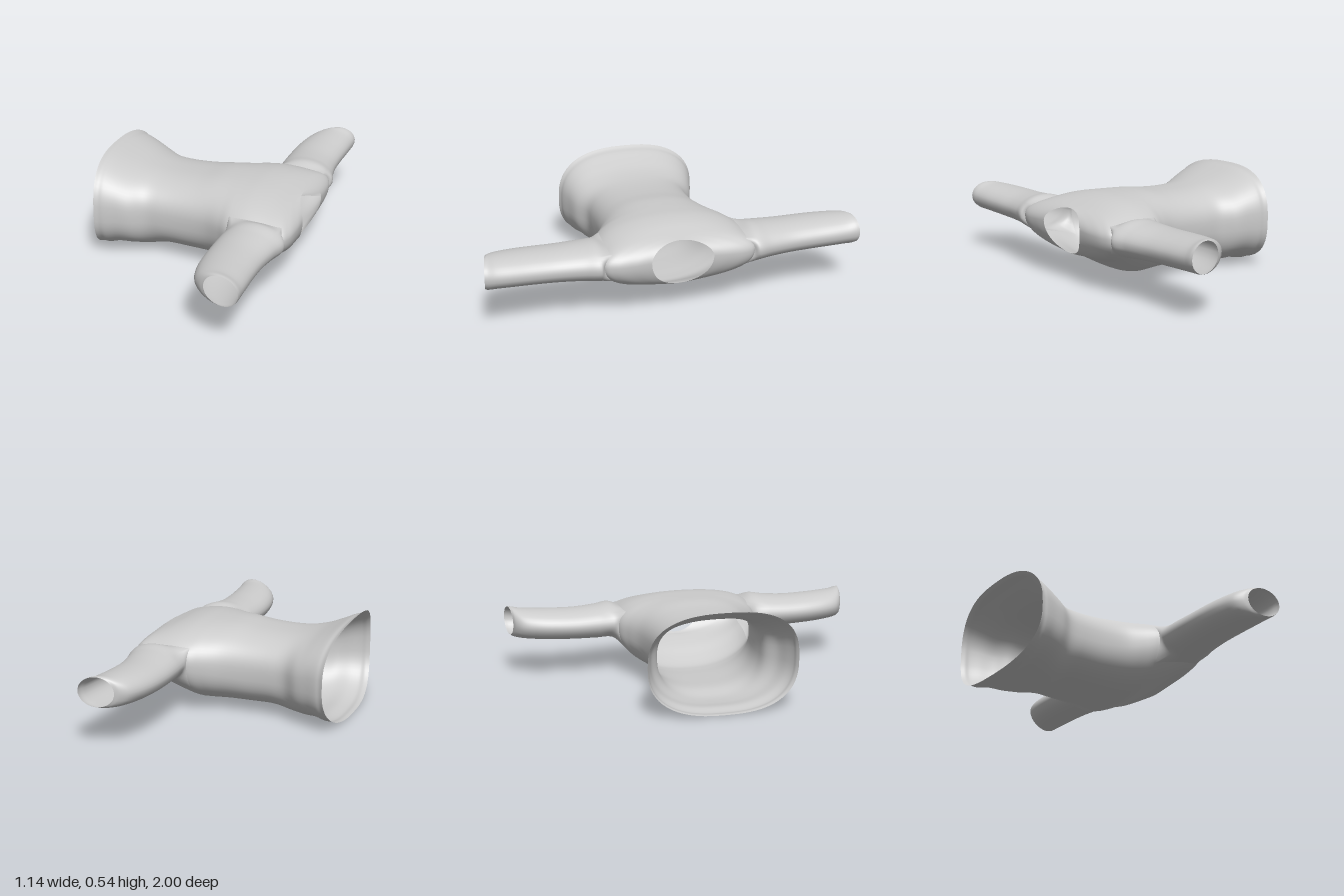
import * as THREE from 'three';

const AROUND = 64;      // points around the torso
const STEPS = 6;        // rings added between key sections
const ARM_HALF = 5;     // half height of the armhole, in points around
const ARM_FROM = 10, ARM_TO = 13; // key sections where the armhole begins and ends

// Torso sections, hem to neck: x at centre, x at sides, bottom, top, side height, half width, squareness
const TORSO = [
  [-0.57, -0.53, 0.008, 0.545, 0.27, 0.400, 2.6],
  [-0.55, -0.51, 0.010, 0.532, 0.27, 0.391, 2.6],
  [-0.52, -0.485, 0.006, 0.522, 0.27, 0.386, 2.6],
  [-0.46, -0.43, 0.018, 0.495, 0.27, 0.367, 2.6],
  [-0.38, -0.36, 0.013, 0.465, 0.26, 0.342, 2.5],
  [-0.29, -0.28, 0.015, 0.448, 0.255, 0.295, 2.5],
  [-0.19, -0.19, 0.037, 0.442, 0.25, 0.287, 2.5],
  [-0.05, -0.05, 0.038, 0.447, 0.25, 0.293, 2.5],
  [0.07, 0.07, 0.036, 0.460, 0.26, 0.315, 2.4],
  [0.16, 0.16, 0.033, 0.462, 0.275, 0.355, 2.3],
  [0.22, 0.23, 0.036, 0.462, 0.29, 0.395, 2.2],
  [0.30, 0.32, 0.070, 0.460, 0.305, 0.410, 2.2],
  [0.38, 0.43, 0.115, 0.447, 0.31, 0.410, 2.2],
  [0.45, 0.53, 0.145, 0.425, 0.31, 0.400, 2.2],
  [0.48, 0.555, 0.155, 0.415, 0.31, 0.350, 2.1],
  [0.495, 0.565, 0.158, 0.410, 0.315, 0.250, 2.0],
  [0.51, 0.565, 0.165, 0.405, 0.32, 0.165, 2.0],
];

// Sleeve sections, shoulder to cuff: z at inner edge, z at outer edge, x min, x max, y min, y max
const SLEEVE = [
  [0.42, 0.42, 0.228, 0.552, 0.205, 0.400],
  [0.50, 0.50, 0.224, 0.532, 0.209, 0.392],
  [0.62, 0.62, 0.222, 0.513, 0.213, 0.385],
  [0.75, 0.75, 0.228, 0.511, 0.218, 0.387],
  [0.85, 0.86, 0.245, 0.516, 0.224, 0.391],
  [0.92, 0.94, 0.272, 0.520, 0.230, 0.395],
  [0.955, 0.98, 0.308, 0.523, 0.235, 0.400],
  [0.968, 1.00, 0.335, 0.522, 0.242, 0.398],
];

const spow = (v, p) => Math.sign(v) * Math.abs(v) ** p;

function torsoRing([xMid, xSide, bottom, top, mid, half, square]) {
  return Array.from({ length: AROUND }, (_, i) => {
    const a = (i / AROUND) * Math.PI * 2;
    const c = Math.cos(a), s = Math.sin(a), p = 2 / square;
    const h = s > 0 ? top - mid : mid - bottom;
    return new THREE.Vector3(xMid + (xSide - xMid) * c * c, mid + h * spow(s, p), half * spow(c, p));
  });
}

// Smooth the key rings lengthwise into many rings
function refine(keys) {
  const count = (keys.length - 1) * STEPS;
  const curves = keys[0].map((_, i) => new THREE.CatmullRomCurve3(keys.map((k) => k[i])));
  return Array.from({ length: count + 1 }, (_, j) => curves.map((c) => c.getPoint(j / count)));
}

// Skin a stack of closed rings, leaving out quads where skip(j, i) is true
function skin(name, rings, material, skip = () => false) {
  const n = rings[0].length, index = [];
  for (let j = 0; j < rings.length - 1; j++) {
    for (let i = 0; i < n; i++) {
      if (skip(j, i)) continue;
      const k = (i + 1) % n;
      const a = j * n + i, b = a + n, c = j * n + k, d = c + n;
      index.push(a, b, c, b, d, c);
    }
  }
  const geometry = new THREE.BufferGeometry().setFromPoints(rings.flat());
  geometry.setIndex(index);
  geometry.computeVertexNormals();
  const mesh = new THREE.Mesh(geometry, material);
  mesh.name = name;
  return mesh;
}

// Edge of the armhole on the front side, walked once around
function armholeLoop(rings) {
  const from = ARM_FROM * STEPS, to = ARM_TO * STEPS, k = ARM_HALF, loop = [];
  const add = (j, i) => loop.push(rings[j][(i + AROUND) % AROUND].clone());
  for (let j = from; j < to; j++) add(j, -k);
  for (let i = -k; i < k; i++) add(to, i);
  for (let j = to; j > from; j--) add(j, k);
  for (let i = k; i > -k; i--) add(from, i);
  return loop.reverse();
}

// Sleeve rings follow the armhole points round by angle
function sleeveRings(loop) {
  const angles = loop.map((p) => Math.atan2((p.y - 0.305) / 0.1, (p.x - 0.385) / 0.165));
  const keys = SLEEVE.map(([zIn, zOut, x0, x1, y0, y1]) => angles.map((a) => {
    const c = Math.cos(a);
    return new THREE.Vector3(
      (x0 + x1) / 2 + ((x1 - x0) / 2) * c,
      (y0 + y1) / 2 + ((y1 - y0) / 2) * Math.sin(a),
      zIn + (zOut - zIn) * (c + 1) / 2,
    );
  }));
  return refine([loop, ...keys]);
}

export function createModel() {
  const shirt = new THREE.Group();
  shirt.name = 'shirt';
  const cloth = new THREE.MeshStandardMaterial({ color: 0xcccccc, side: THREE.DoubleSide });

  // Torso with open hem, neck and armholes
  const rings = refine(TORSO.map(torsoRing));
  const inArmhole = (j, i) => {
    if (j < ARM_FROM * STEPS || j >= ARM_TO * STEPS) return false;
    const near = (centre) => {
      const d = ((i - centre + AROUND * 1.5) % AROUND) - AROUND / 2;
      return d >= -ARM_HALF && d < ARM_HALF;
    };
    return near(0) || near(AROUND / 2);
  };
  shirt.add(skin('torso', rings, cloth, inArmhole));

  // Sleeves, mirrored across z
  const front = sleeveRings(armholeLoop(rings));
  const back = front.map((ring) => ring.map((p) => new THREE.Vector3(p.x, p.y, -p.z)).reverse());
  shirt.add(skin('frontSleeve', front, cloth), skin('backSleeve', back, cloth));
  return shirt;
}
